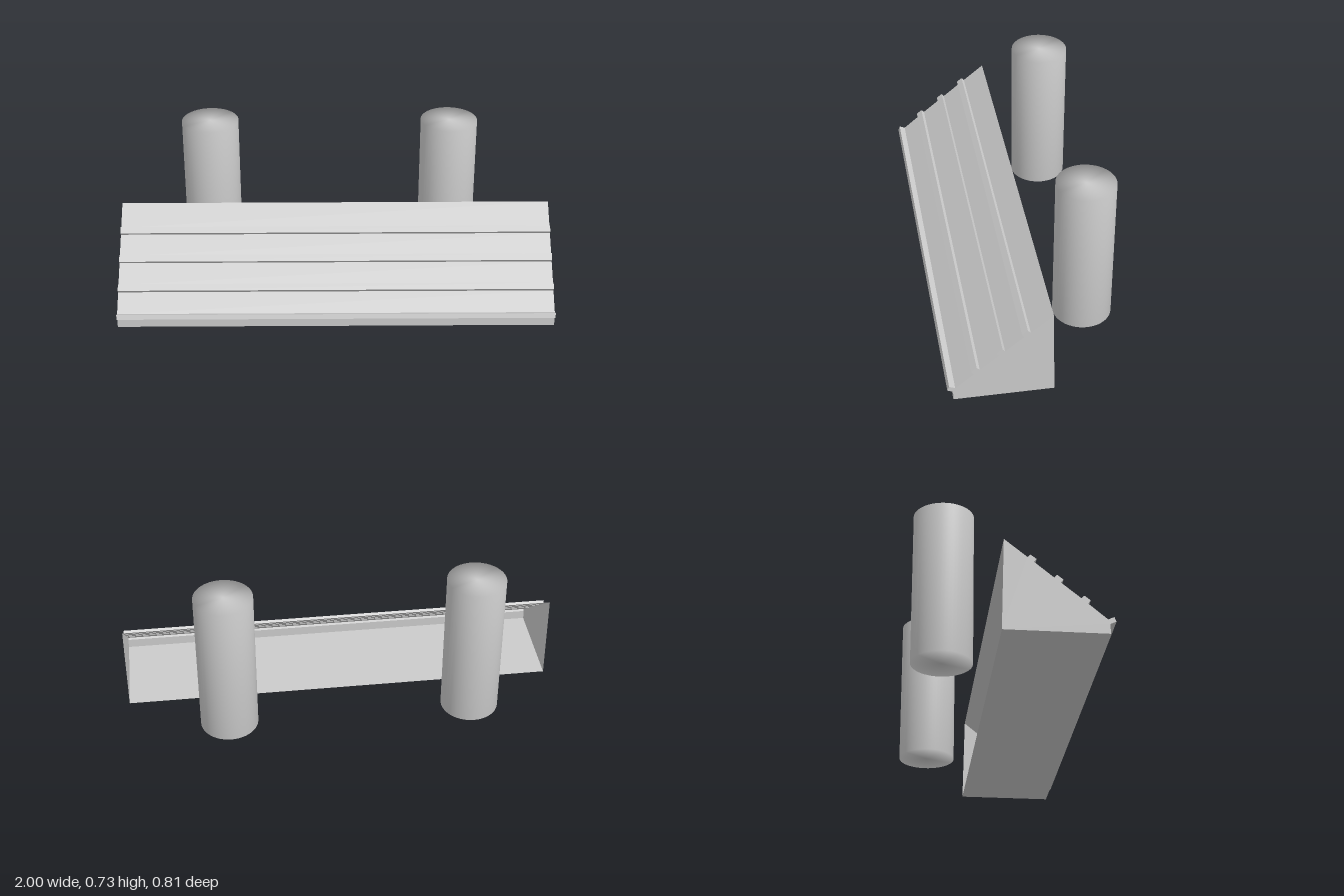
import * as THREE from 'three';
import { mergeVertices } from 'three/addons/utils/BufferGeometryUtils.js';

const HALF = 1; // half width of the ramp

// Ramp cross-section as [z, y]: floor, front lip, then the slope with its raised ribs
const PROFILE = [
  [-0.057, 0], [0.38, 0], [0.38, 0.044],
  [0.405, 0.055], [0.397, 0.075], [0.371, 0.064],
  [0.292, 0.131], [0.303, 0.146], [0.278, 0.166], [0.265, 0.154],
  [0.183, 0.221], [0.194, 0.235], [0.168, 0.256], [0.157, 0.242],
  [0.075, 0.31], [0.086, 0.324], [0.061, 0.343], [0.049, 0.331],
  [-0.048, 0.41],
];

// Sweeps the profile across the width, leaving the back open
function shellGeometry() {
  const pos = [];
  for (let i = 0; i < PROFILE.length - 1; i++) {
    const [az, ay] = PROFILE[i];
    const [bz, by] = PROFILE[i + 1];
    const a0 = [-HALF, ay, az], a1 = [HALF, ay, az];
    const b0 = [-HALF, by, bz], b1 = [HALF, by, bz];
    pos.push(...a0, ...a1, ...b1, ...a0, ...b1, ...b0);
  }
  const g = new THREE.BufferGeometry();
  g.setAttribute('position', new THREE.Float32BufferAttribute(pos, 3));
  g.computeVertexNormals();
  return g;
}

// Flat end wall; side is +1 or -1
function endGeometry(side) {
  const shape = new THREE.Shape(PROFILE.map(([z, y]) => new THREE.Vector2(-side * z, y)));
  return new THREE.ShapeGeometry(shape).rotateY(side * Math.PI / 2).translate(side * HALF, 0, 0);
}

// Cylinder with normals smoothed over the rims
function pillarGeometry(radius, height) {
  const g = new THREE.CylinderGeometry(radius, radius, height, 48);
  g.deleteAttribute('normal');
  g.deleteAttribute('uv');
  const merged = mergeVertices(g);
  merged.computeVertexNormals();
  return merged;
}

export function createModel() {
  const model = new THREE.Group();
  const thin = new THREE.MeshStandardMaterial({ color: 0xcccccc, side: THREE.DoubleSide });
  const solid = new THREE.MeshStandardMaterial({ color: 0xcccccc });
  const add = (parent, name, geometry, material) => {
    const mesh = new THREE.Mesh(geometry, material);
    mesh.name = name;
    parent.add(mesh);
    return mesh;
  };

  // Ribbed ramp, hollow and open at the back
  const ramp = new THREE.Group();
  ramp.name = 'ramp';
  model.add(ramp);
  add(ramp, 'ribbedShell', shellGeometry(), thin);
  add(ramp, 'leftEnd', endGeometry(1), thin);
  add(ramp, 'rightEnd', endGeometry(-1), thin);

  // Two free-standing pillars behind the ramp
  const pillar = pillarGeometry(0.133, 0.706);
  for (const [name, x] of [['leftPillar', 0.538], ['rightPillar', -0.589]]) {
    add(model, name, pillar, solid).position.set(x, 0.38, -0.27);
  }
  return model;
}
